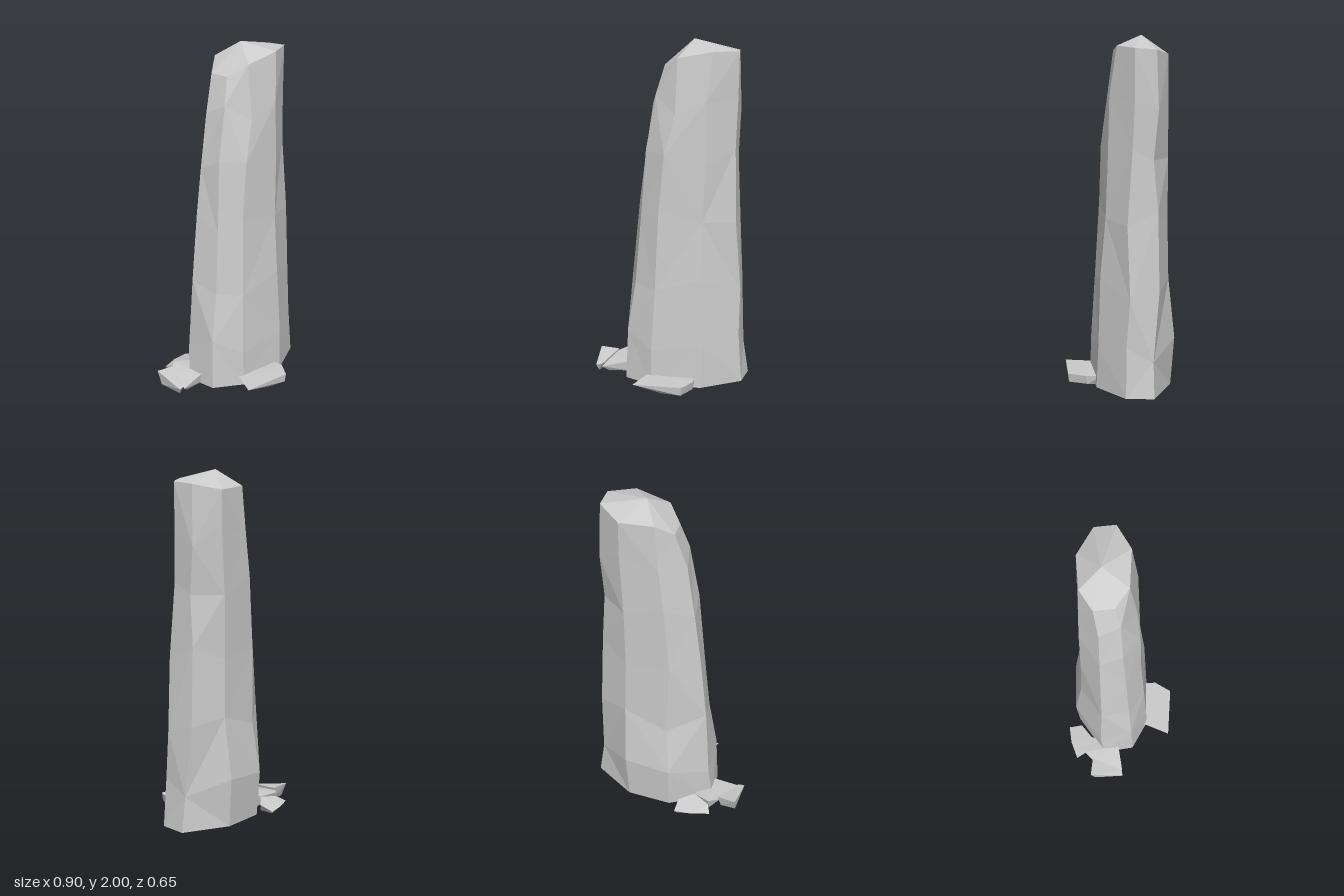
import * as THREE from 'three';
import { ConvexGeometry } from 'three/addons/geometries/ConvexGeometry.js';

const stone = new THREE.MeshStandardMaterial({ color: 0xcccccc, flatShading: true, side: THREE.DoubleSide });

// Ring heights of the pillar, and the edges that run up it, as x/z per ring
const heights = [0, 0.25, 0.6, 1.0, 1.35, 1.65];
const edges = [
  { path: [-0.26, 0.07, -0.25, 0.06, -0.205, 0.045, -0.175, 0.03, -0.145, 0.01, -0.09, 0], top: [-0.045, 1.84, -0.03] },
  { path: [-0.1, 0.165, -0.1, 0.16, -0.08, 0.14, -0.06, 0.115, -0.03, 0.11, 0.03, 0.09], top: [0.04, 1.91, 0.05] },
  { path: [0.19, 0.175, 0.2, 0.165, 0.185, 0.15, 0.19, 0.12, 0.205, 0.11, 0.205, 0.1], top: [0.24, 1.95, 0.065] },
  { path: [0.42, 0.045, 0.4, 0.04, 0.405, 0.02, 0.375, 0.03, 0.365, 0, 0.375, -0.01], top: [0.38, 1.945, -0.01] },
  { path: [0.45, -0.11, 0.42, -0.11, 0.405, -0.145, 0.385, -0.14, 0.375, -0.115, 0.385, -0.14], top: [0.375, 1.935, -0.13] },
  { path: [0.2, -0.255, 0.21, -0.275, 0.22, -0.235, 0.21, -0.23, 0.215, -0.23, 0.235, -0.225], top: [0.235, 1.9, -0.225] },
  { path: [-0.06, -0.26, -0.06, -0.28, -0.04, -0.24, -0.05, -0.23, -0.02, -0.23, 0.01, -0.225], top: [0.035, 1.91, -0.215] },
  { path: [-0.285, -0.11, -0.265, -0.13, -0.24, -0.12, -0.2, -0.12, -0.165, -0.12, -0.12, -0.12], top: [-0.055, 1.84, -0.145] },
];
const apex = [0.12, 2, -0.095];

function pillarGeometry() {
  const n = edges.length, rings = heights.length;
  const pos = [], index = [];
  for (let r = 0; r <= rings; r++) {
    edges.forEach(({ path, top }, i) => {
      if (r === rings) return pos.push(...top);
      // stagger the corners so the facets look chipped
      const y = heights[r] + (r ? 0.05 * Math.sin(i * 2.3 + r * 1.7) : 0);
      pos.push(path[2 * r], y, path[2 * r + 1]);
    });
  }
  pos.push(...apex);
  for (let i = 0; i < n; i++) {
    const j = (i + 1) % n;
    for (let r = 0; r < rings; r++) {
      const a = r * n + i, b = r * n + j, c = b + n, d = a + n;
      if ((i + r) % 2) index.push(a, b, c, a, c, d);
      else index.push(a, b, d, b, c, d);
    }
    index.push(rings * n + i, rings * n + j, (rings + 1) * n);
  }
  const g = new THREE.BufferGeometry();
  g.setAttribute('position', new THREE.Float32BufferAttribute(pos, 3));
  g.setIndex(index);
  const flat = g.toNonIndexed();
  flat.computeVertexNormals();
  return flat;
}

// Loose flakes of stone around the foot
const flakes = {
  frontFlake: [
    [-0.19, 0.055, 0.3], [0.095, 0.06, 0.325], [0.155, 0.06, 0.23], [0.155, 0.055, 0.14], [-0.12, 0.06, 0.14],
    [-0.02, 0.005, 0.29], [0.09, 0.01, 0.32], [0.15, 0.01, 0.22], [0.13, 0, 0.14], [-0.07, 0, 0.15],
  ],
  outerSideFlake: [
    [-0.455, 0.08, -0.2], [-0.345, 0.075, -0.185], [-0.42, 0.045, -0.005], [-0.455, 0.04, 0.002],
    [-0.45, 0, -0.17], [-0.36, 0, -0.17], [-0.44, 0, -0.02],
  ],
  innerSideFlake: [
    [-0.42, 0.03, 0], [-0.27, 0.06, -0.02], [-0.2, 0.06, -0.19], [-0.3, 0.07, -0.235], [-0.36, 0.06, -0.18],
    [-0.38, 0, -0.02], [-0.25, 0, -0.03], [-0.2, 0, -0.17], [-0.3, 0, -0.21],
  ],
  backFlake: [
    [-0.325, 0.02, -0.285], [-0.22, 0.02, -0.32], [-0.118, 0.015, -0.33], [-0.115, 0.04, -0.25], [-0.2, 0.06, -0.19],
    [-0.3, 0.045, -0.235], [-0.3, 0, -0.27], [-0.13, 0, -0.32], [-0.14, 0, -0.23], [-0.28, 0, -0.22],
  ],
};

export function createModel() {
  const model = new THREE.Group();
  model.name = 'standingStone';
  const add = (name, geometry) => {
    const mesh = new THREE.Mesh(geometry, stone);
    mesh.name = name;
    model.add(mesh);
  };
  add('pillar', pillarGeometry());
  for (const [name, points] of Object.entries(flakes)) {
    add(name, new ConvexGeometry(points.map((p) => new THREE.Vector3(...p))));
  }
  return model;
}
